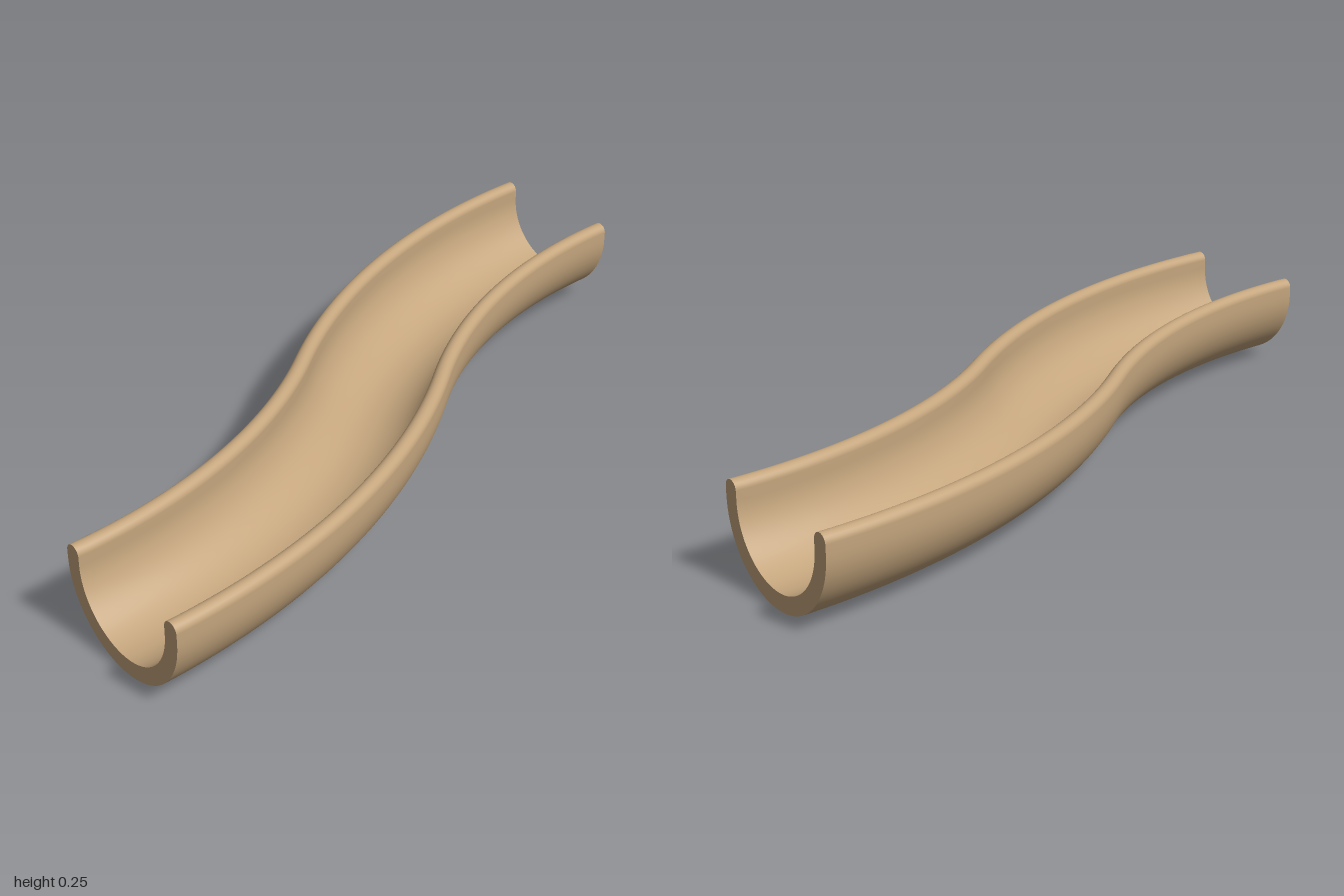
import * as THREE from 'three';

const R_OUT = 0.2, R_IN = 0.157, WALL_TOP = 0.2235, OFFSET = 1 / 3;
const BEND = 2 * Math.atan(OFFSET);       // angle turned by each half
const BEND_R = 1 / Math.sin(BEND);        // radius of each bend
const STEPS = 40;                         // rings per half

// Closed U-shaped section, anticlockwise, with rounded rims
function troughProfile() {
  const pts = [];
  const arc = (cx, cy, r, from, to, n) => {
    for (let i = 0; i <= n; i++) {
      const a = from + (to - from) * i / n;
      pts.push(new THREE.Vector2(cx + r * Math.cos(a), cy + r * Math.sin(a)));
    }
  };
  const rimR = (R_OUT - R_IN) / 2, rimX = (R_OUT + R_IN) / 2;
  arc(0, R_OUT, R_OUT, Math.PI, 2 * Math.PI, 40);
  arc(rimX, WALL_TOP, rimR, 0, Math.PI, 12);
  arc(0, R_OUT, R_IN, 0, -Math.PI, 40);
  arc(-rimX, WALL_TOP, rimR, 0, Math.PI, 12);
  return pts;
}

// Centre line: two equal, opposite bends meeting at the middle
function pathAt(k) {
  const first = k <= STEPS, sign = first ? 1 : -1;
  const a = BEND * (first ? k : 2 * STEPS - k) / STEPS;
  return {
    a,
    x: sign * (-1 + BEND_R * Math.sin(a)),
    z: sign * (OFFSET - BEND_R * (1 - Math.cos(a)))
  };
}

// Sweep the section along the centre line, keeping it upright
function sweep(profile) {
  const n = profile.length, pos = [], index = [];
  for (let k = 0; k <= 2 * STEPS; k++) {
    const { a, x, z } = pathAt(k);
    for (const p of profile) pos.push(x + p.x * Math.sin(a), p.y, z + p.x * Math.cos(a));
    if (k === 2 * STEPS) break;
    for (let i = 0; i < n; i++) {
      const j = (i + 1) % n, q = k * n;
      index.push(q + i, q + n + i, q + j, q + j, q + n + i, q + n + j);
    }
  }
  const geo = new THREE.BufferGeometry();
  geo.setAttribute('position', new THREE.Float32BufferAttribute(pos, 3));
  geo.setIndex(index);
  geo.computeVertexNormals();
  return geo;
}

export function createModel() {
  const group = new THREE.Group();
  group.name = 'curvedTrough';
  const tan = new THREE.MeshStandardMaterial({ color: 0xc4a57d });
  tan.name = 'tan';
  const profile = troughProfile();

  const channel = new THREE.Mesh(sweep(profile), tan);
  channel.name = 'channel';
  group.add(channel);

  // Flat cut faces at both ends
  for (const side of [-1, 1]) {
    const end = new THREE.Mesh(new THREE.ShapeGeometry(new THREE.Shape(profile)), tan);
    end.name = side < 0 ? 'rightEnd' : 'leftEnd';
    end.rotation.y = side * Math.PI / 2;
    end.position.set(side, 0, -side * OFFSET);
    group.add(end);
  }
  return group;
}
